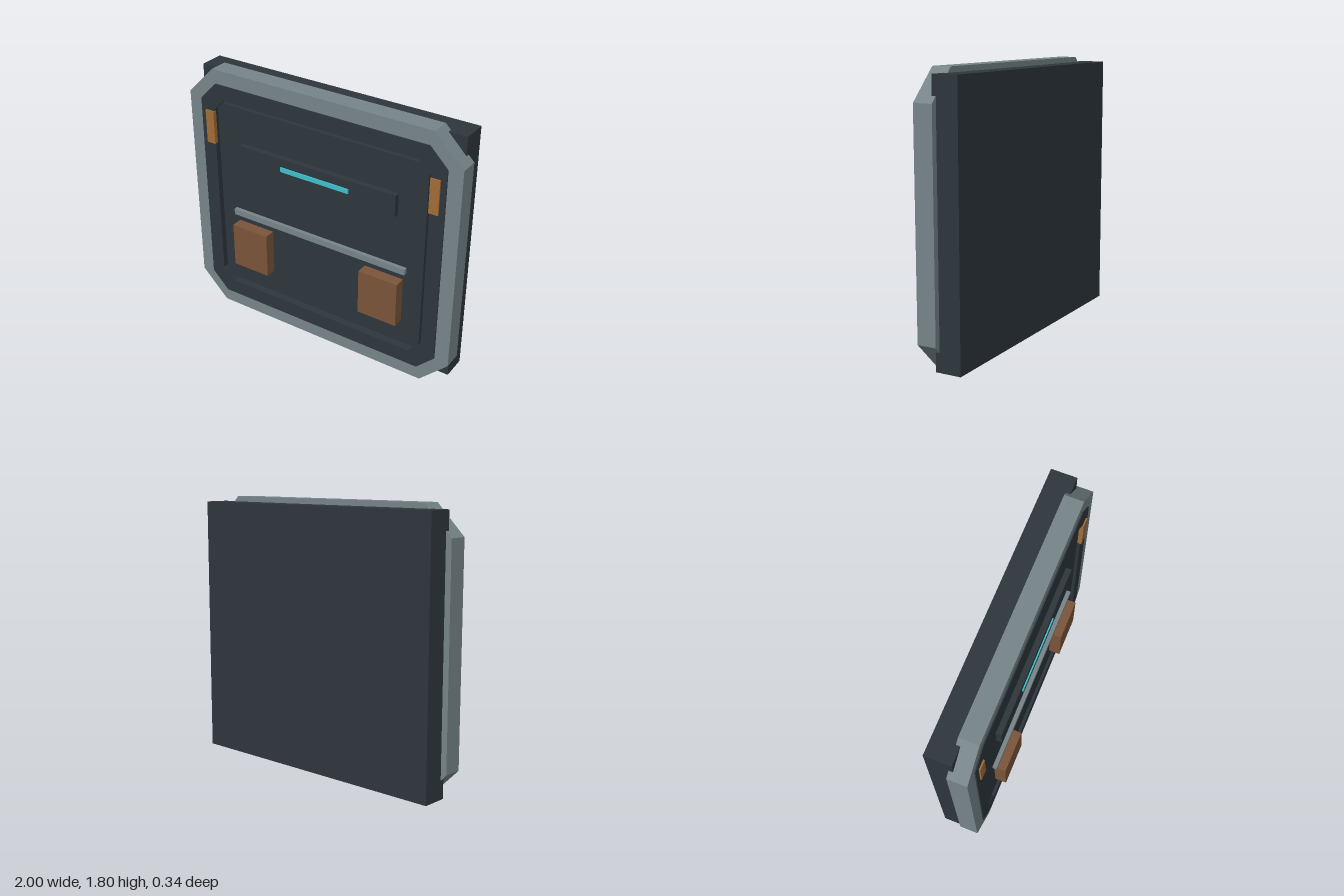
import * as THREE from 'three';

const mat = (name, color) => {
  const m = new THREE.MeshStandardMaterial({ color });
  m.name = name;
  return m;
};

const CY = 0.9025; // height of the panel's centre

// Adds a rectangle with cut corners to a shape or path
function octagon(path, w, h, c) {
  path.moveTo(-w + c, -h);
  [[w - c, -h], [w, -h + c], [w, h - c], [w - c, h],
    [-w + c, h], [-w, h - c], [-w, -h + c]].forEach(([x, y]) => path.lineTo(x, y));
  path.closePath();
  return path;
}

export function createModel() {
  const model = new THREE.Group();
  model.name = 'wallPanel';

  const dark = mat('dark slate', 0x2e363c);
  const steel = mat('grey steel', 0x768488);
  const brown = mat('brown', 0x7a543a);
  const amber = mat('amber', 0xa06c36);
  const cyan = mat('cyan glow', 0x3fbfcd);

  function add(name, geometry, material) {
    const mesh = new THREE.Mesh(geometry, material);
    mesh.name = name;
    model.add(mesh);
  }

  // Box given by its limits on each axis
  function box(name, material, x0, x1, y0, y1, z0, z1) {
    const g = new THREE.BoxGeometry(x1 - x0, y1 - y0, z1 - z0);
    g.translate((x0 + x1) / 2, (y0 + y1) / 2, (z0 + z1) / 2);
    add(name, g, material);
  }

  // Cut-corner frame between two outlines [halfWidth, halfHeight, corner]
  function frame(name, material, outer, inner, z0, z1) {
    const shape = octagon(new THREE.Shape(), ...outer);
    shape.holes.push(octagon(new THREE.Path(), ...inner));
    const g = new THREE.ExtrudeGeometry(shape, { depth: z1 - z0, bevelEnabled: false });
    g.translate(0, CY, z0);
    add(name, g, material);
  }

  // Body
  box('backSlab', dark, -0.96, 0.96, 0.035, 1.77, -0.17, 0);
  frame('outerFrame', steel, [1, CY, 0.197], [0.903, 0.807, 0.124], -0.027, 0.1);
  frame('innerFrame', dark, [0.903, 0.807, 0.124], [0.802, 0.702, 0.085], -0.01, 0.108);
  box('centrePanel', dark, -0.78, 0.78, 0.235, 1.577, -0.01, 0.092);

  // Display and light strip
  box('displayPlate', dark, -0.585, 0.585, 1.18, 1.33, 0.08, 0.13);
  box('lightStrip', cyan, -0.255, 0.255, 1.24, 1.272, 0.12, 0.138);

  // Rail
  box('rail', steel, -0.665, 0.665, 0.78, 0.822, 0.08, 0.12);

  // Mirrored pads and side markers
  for (const [side, s] of [['left', 1], ['right', -1]]) {
    const span = (a, b) => (s > 0 ? [a, b] : [-b, -a]);
    box(side + 'Pad', brown, ...span(0.363, 0.643), 0.41, 0.727, 0.08, 0.17);
    box(side + 'Marker', amber, ...span(0.8, 0.865), 1.277, 1.512, 0.09, 0.118);
  }

  return model;
}
